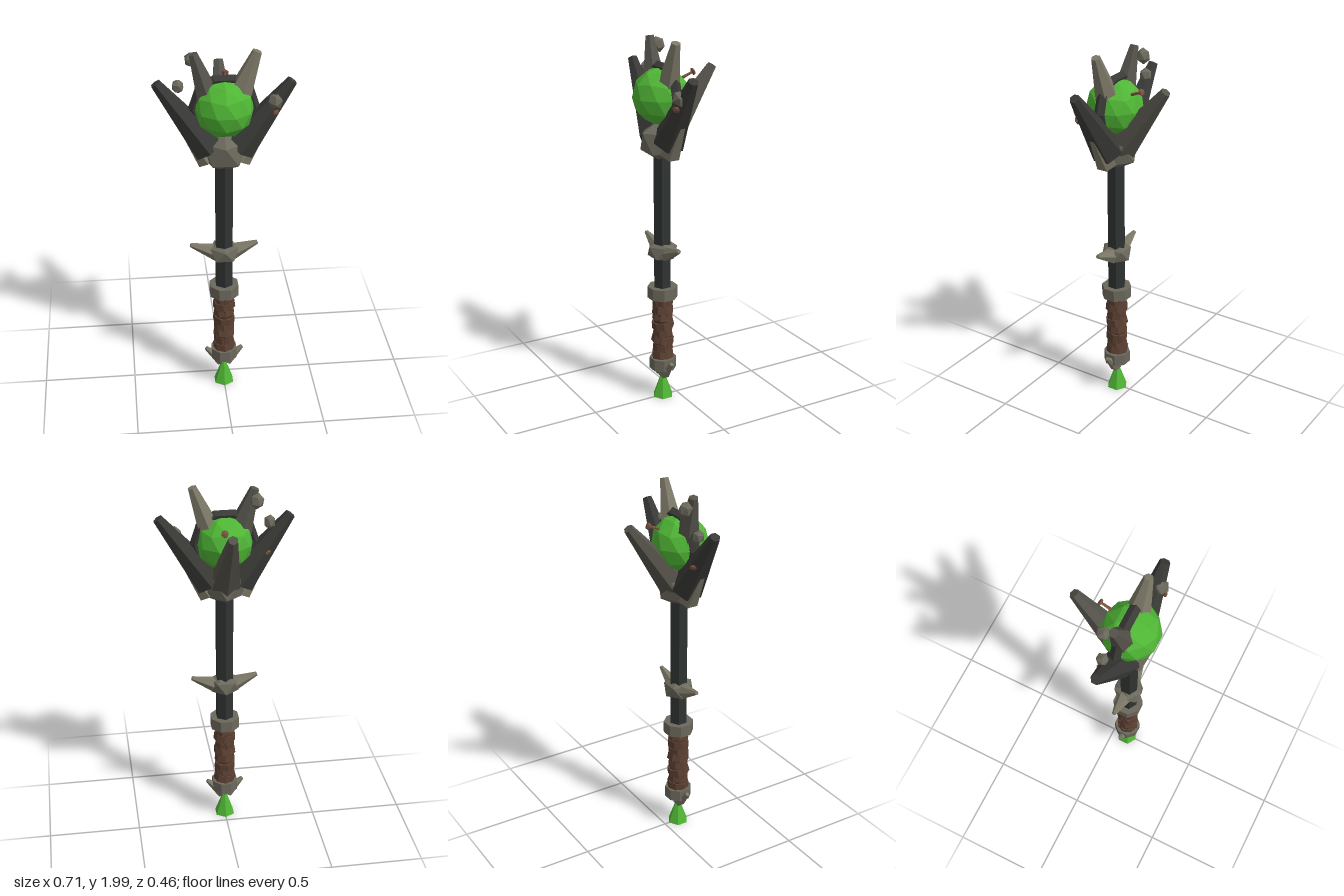
import * as THREE from 'three';

const mat = (color) => new THREE.MeshStandardMaterial({ color, flatShading: true });
const stone = mat(0x6b685c), paleStone = mat(0x7c7867), slate = mat(0x393a36), greyStone = mat(0x54524a);
const shaftMat = mat(0x2f3332), leather = mat(0x5c4032), leatherDark = mat(0x4a3328);
const glow = mat(0x4fb535), fungus = mat(0x7a5240);

export function createModel() {
  const model = new THREE.Group();
  const staff = new THREE.Group(); // everything is laid out around the shaft axis
  staff.name = 'staff';
  staff.position.z = 0.085;
  model.add(staff);

  const add = (name, geo, material, x = 0, y = 0, z = 0) => {
    const mesh = new THREE.Mesh(geo, material);
    mesh.name = name;
    mesh.position.set(x, y, z);
    staff.add(mesh);
    return mesh;
  };

  // Faceted ball with a corner pointing straight up
  const ball = (name, r, detail, material, x, y, z, sy = 1) => {
    const geo = new THREE.IcosahedronGeometry(r, detail);
    geo.rotateX(-Math.atan((1 + Math.sqrt(5)) / 2));
    geo.scale(1, sy, 1);
    return add(name, geo, material, x, y, z);
  };

  // Tapered, blunt-tipped stone spike from point a to point b
  const up = new THREE.Vector3(0, 1, 0);
  const spike = (name, a, b, r0, r1, material, sides = 6, flat = 1) => {
    const from = new THREE.Vector3(...a), to = new THREE.Vector3(...b);
    const dir = to.clone().sub(from);
    const geo = new THREE.CylinderGeometry(r1, r0, dir.length(), sides);
    geo.scale(1, 1, flat);
    const mid = from.add(to).multiplyScalar(0.5);
    const mesh = add(name, geo, material, mid.x, mid.y, mid.z);
    mesh.quaternion.setFromUnitVectors(up, dir.normalize());
    return mesh;
  };

  // Shaft
  add('shaft', new THREE.CylinderGeometry(0.05, 0.05, 1.22, 6), shaftMat, 0, 0.79, 0);

  // Leather grip: core plus slightly tilted, uneven wraps
  add('gripCore', new THREE.CylinderGeometry(0.051, 0.051, 0.37, 8), leatherDark, 0, 0.41, 0);
  const wraps = 8;
  for (let i = 0; i < wraps; i++) {
    const r = i % 2 ? 0.056 : 0.061;
    const wrap = add('gripWrap', new THREE.CylinderGeometry(r - 0.003, r, 0.041, 8), leather,
      0, 0.256 + i * 0.0445, 0);
    wrap.rotation.set(0.1 * Math.sin(i * 2.1), i * 0.5, 0.1 * Math.cos(i * 1.7));
  }

  // Collars above and below the grip
  const collar = (name, r, y) => {
    add(name, new THREE.CylinderGeometry(r, r, 0.064, 8), stone, 0, y, 0).rotation.y = Math.PI / 8;
  };
  collar('upperCollar', 0.081, 0.62);
  collar('lowerCollar', 0.073, 0.203);

  // Pommel: stone knob, two claws and a hanging crystal
  ball('pommelKnob', 0.045, 0, stone, 0, 0.165, 0);
  for (const s of [-1, 1])
    spike('pommelClaw', [s * 0.012, 0.14, 0], [s * 0.099, 0.226, 0], 0.036, 0.011, paleStone);
  add('pommelCrystal', new THREE.CylinderGeometry(0.004, 0.058, 0.15, 6), glow, 0, 0.075, 0);

  // Middle knot with two spikes
  ball('middleKnot', 0.088, 0, stone, 0, 0.855, 0, 0.75);
  for (const s of [-1, 1])
    spike('middleSpike', [s * 0.04, 0.85, 0], [s * 0.177, 0.903, 0], 0.045, 0.011, paleStone);

  // Head socket
  ball('headSocket', 0.125, 0, stone, 0, 1.455, 0, 0.92);

  // Orb and the dark ring of stone that carries it
  ball('orb', 0.15, 1, glow, 0, 1.688, 0.003);
  const ring = new THREE.TorusGeometry(0.148, 0.03, 5, 10);
  add('orbRing', ring, slate, 0, 1.69, -0.005);

  // Side prongs with shorter pale plates outside them
  for (const s of [-1, 1]) {
    spike('sideProng', [s * 0.075, 1.47, 0], [s * 0.335, 1.825, s * 0.012], 0.088, 0.027, slate);
    spike('outerPlate', [s * 0.085, 1.405, 0], [s * 0.215, 1.605, 0], 0.058, 0.02, paleStone);
  }

  // Back prong
  spike('backProng', [0, 1.48, -0.04], [0, 1.818, -0.297], 0.084, 0.026, greyStone);

  // Upper prongs
  spike('upperProng', [0.062, 1.72, 0], [0.16, 1.982, 0.008], 0.07, 0.024, paleStone);
  spike('upperProng', [-0.07, 1.72, 0], [-0.15, 1.97, -0.015], 0.07, 0.024, greyStone);

  // Loose rocks stuck to the prongs
  for (const [r, x, y, z] of [
    [0.033, -0.225, 1.795, -0.035], [0.037, -0.155, 1.92, -0.065], [0.041, 0.25, 1.725, 0.035],
  ]) ball('rock', r, 0, stone, x, y, z, 1.15).rotation.set(0.4, x * 5, 0.3);

  // Small mushrooms
  const mushroom = (a, b) => {
    spike('mushroomStem', a, b, 0.009, 0.006, fungus, 5);
    const cap = ball('mushroomCap', 0.021, 0, fungus, ...b, 0.5);
    cap.quaternion.setFromUnitVectors(up,
      new THREE.Vector3(...b).sub(new THREE.Vector3(...a)).normalize());
  };
  mushroom([0.02, 1.775, -0.11], [0.022, 1.8, -0.17]);
  mushroom([-0.19, 1.66, -0.03], [-0.215, 1.635, -0.055]);
  mushroom([0.23, 1.69, 0.03], [0.25, 1.675, 0.06]);

  return model;
}
